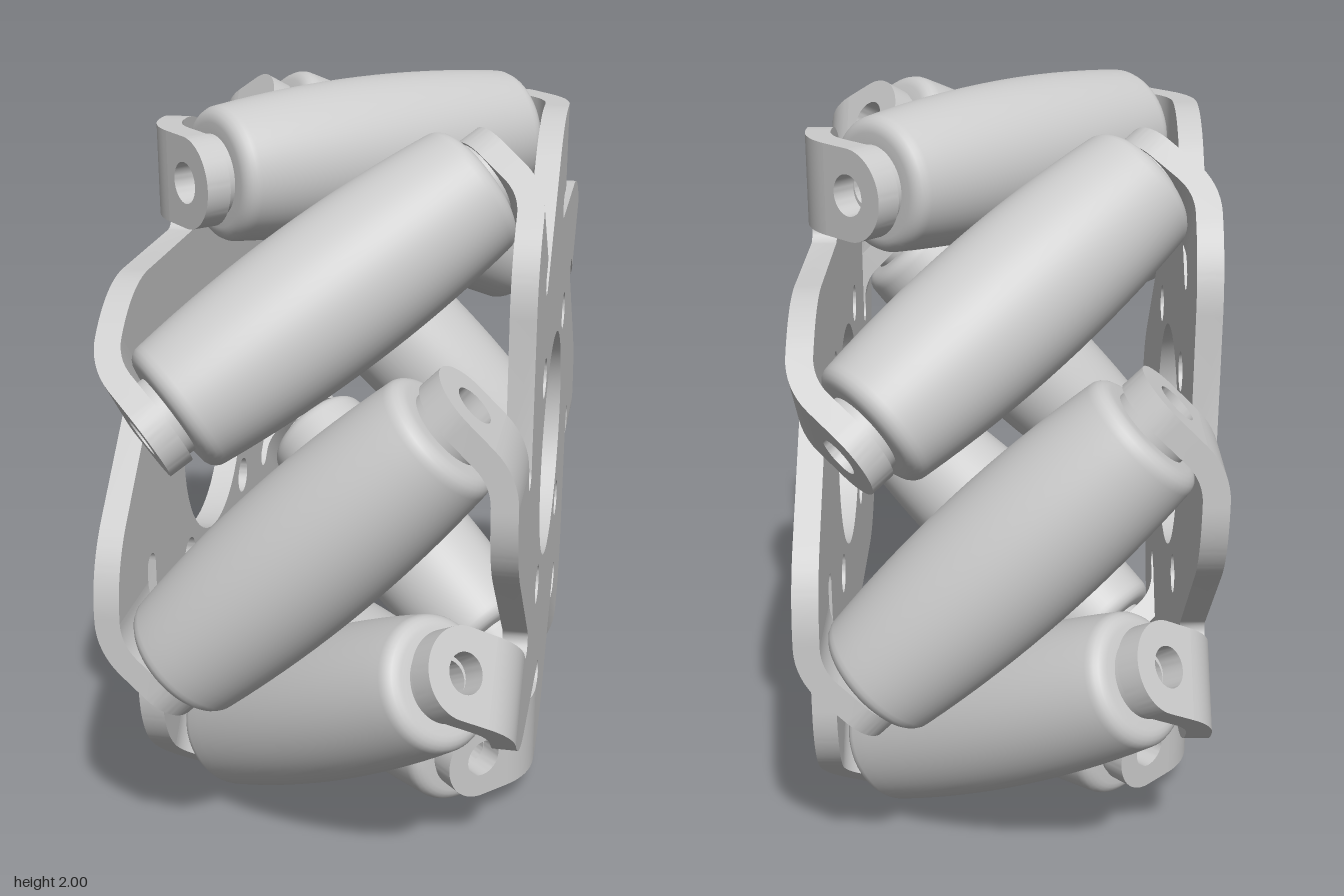
import * as THREE from 'three';
import { toCreasedNormals } from 'three/addons/utils/BufferGeometryUtils.js';

const COUNT = 8, STEP = (Math.PI * 2) / COUNT;
const OUT = 0.517, THICK = 0.065;            // plate outer face and sheet thickness
const TAB_IN = 0.674, TAB_OUT = 0.909;       // radial extent of each tab
const TAB_MID = (TAB_IN + TAB_OUT) / 2, TAB_R = (TAB_OUT - TAB_IN) / 2;
const BEND_T = 0.192, BEND_R = 0.2;          // where the fold starts and its outer radius
const HOLE = 0.396;                          // screw hole offset, outer tab face
const TUBE = 0.05;

const material = new THREE.MeshStandardMaterial({ color: 0xcccccc });

function mesh(geometry, name, crease = 0.6) {
  const m = new THREE.Mesh(toCreasedNormals(geometry, crease), material);
  m.name = name;
  return m;
}

function addHole(shape, x, y, r) {
  const hole = new THREE.Path();
  hole.absarc(x, y, r, 0, Math.PI * 2, false);
  shape.holes.push(hole);
}

// Radial / tangential position in sector k, on the plate plane
function polar(r, t, k) {
  const a = k * STEP;
  return new THREE.Vector2(r * Math.cos(a) - t * Math.sin(a), -(r * Math.sin(a) + t * Math.cos(a)));
}

// Flat sheet with eight swept arms, relief slots, bore and bolt holes
function plateGeometry() {
  const shape = new THREE.Shape();
  const cornerT = 0.05, trim = 0.13, slotR = 0.035;
  for (let k = 0; k < COUNT; k++) {
    const start = polar(TAB_OUT - trim * Math.SQRT1_2, cornerT - trim * Math.SQRT1_2, k);
    const corner = polar(TAB_OUT, cornerT, k), end = polar(TAB_OUT, cornerT + trim, k);
    if (k === 0) shape.moveTo(start.x, start.y);
    else shape.lineTo(start.x, start.y);
    shape.quadraticCurveTo(corner.x, corner.y, end.x, end.y);
    const line = [polar(TAB_OUT, BEND_T, k), polar(TAB_IN, BEND_T, k)];
    for (let i = 0; i <= 10; i++) {
      const a = (-i / 10) * Math.PI;
      line.push(polar(TAB_IN - slotR + slotR * Math.cos(a), 0.163 + slotR * Math.sin(a), k));
    }
    line.forEach((p) => shape.lineTo(p.x, p.y));
  }
  addHole(shape, 0, 0, 0.313);
  for (const x of [-1, 1]) for (const y of [-1, 1]) addHole(shape, x * 0.295, y * 0.295, 0.053);
  const g = new THREE.ExtrudeGeometry(shape, { depth: THICK, bevelEnabled: false, curveSegments: 24 });
  return g.translate(0, 0, OUT - THICK);
}

// Curved fold between the plate and a tab
function bendGeometry() {
  const shape = new THREE.Shape();
  const cz = OUT - BEND_R, n = 8, pts = [];
  const arc = (r, i) => {
    const a = (i / n) * Math.PI / 4;
    pts.push(new THREE.Vector2(-(BEND_T + r * Math.sin(a)), cz + r * Math.cos(a)));
  };
  for (let i = 0; i <= n; i++) arc(BEND_R, i);
  for (let i = n; i >= 0; i--) arc(BEND_R - THICK, i);
  shape.setFromPoints(pts);
  const g = new THREE.ExtrudeGeometry(shape, { depth: TAB_R * 2, bevelEnabled: false });
  g.applyMatrix4(new THREE.Matrix4().makeBasis(
    new THREE.Vector3(0, 1, 0), new THREE.Vector3(0, 0, 1), new THREE.Vector3(1, 0, 0)));
  return g.translate(TAB_IN, 0, 0);
}

// Round-ended tab with a screw hole, square to the roller axis
function tabGeometry() {
  const length = 0.0885;
  const shape = new THREE.Shape();
  shape.moveTo(-TAB_R, -length);
  shape.lineTo(TAB_R, -length);
  shape.lineTo(TAB_R, 0);
  shape.absarc(0, 0, TAB_R, 0, Math.PI, false);
  addHole(shape, 0, 0, TUBE + 0.003);
  const g = new THREE.ExtrudeGeometry(shape, { depth: THICK, bevelEnabled: false, curveSegments: 20 });
  return g.rotateX(-Math.PI * 0.75).translate(TAB_MID, -HOLE, HOLE);
}

// Barrel roller with rounded rims, end bosses and an axial bore
function rollerGeometry() {
  const half = [];
  for (let i = 0; i <= 8; i++) {
    const s = (i / 8) * 0.435;
    half.push([0.2 - 0.14 * s * s, s]);
  }
  for (let i = 1; i <= 5; i++) {
    const a = (i / 5) * Math.PI / 2;
    half.push([0.1335 + 0.04 * Math.cos(a), 0.435 + 0.04 * Math.sin(a)]);
  }
  half.push([0.105, 0.475], [0.105, 0.496], [TUBE, 0.496]);
  const lower = half.slice(1).reverse().map(([r, s]) => [r, -s]);
  const profile = [...lower, ...half, lower[0]].map(([r, s]) => new THREE.Vector2(r, s));
  return new THREE.LatheGeometry(profile, 56);
}

export function createModel() {
  const model = new THREE.Group();
  model.name = 'rollerWheel';

  const wheel = new THREE.Group();
  wheel.name = 'wheel';
  wheel.rotation.y = Math.PI / 2;
  wheel.position.y = 1;
  model.add(wheel);

  // Two identical side plates, one turned half round
  const plate = mesh(plateGeometry(), 'plate');
  const bend = mesh(bendGeometry(), 'tabBend');
  const tab = mesh(tabGeometry(), 'tab');
  ['leftSidePlate', 'rightSidePlate'].forEach((name, i) => {
    const side = new THREE.Group();
    side.name = name;
    side.rotation.x = i * Math.PI;
    side.add(plate.clone());
    for (let k = 0; k < COUNT; k++) {
      const bracket = new THREE.Group();
      bracket.name = 'bracket';
      bracket.rotation.z = k * STEP;
      bracket.add(bend.clone(), tab.clone());
      side.add(bracket);
    }
    wheel.add(side);
  });

  // Eight rollers set at 45 degrees around the rim
  const roller = mesh(rollerGeometry(), 'roller');
  for (let k = 0; k < COUNT; k++) {
    const mount = new THREE.Group();
    mount.name = 'rollerMount';
    mount.rotation.z = k * STEP;
    const r = roller.clone();
    r.position.x = 0.8;
    r.rotation.x = Math.PI * 0.75;
    mount.add(r);
    wheel.add(mount);
  }
  return model;
}
